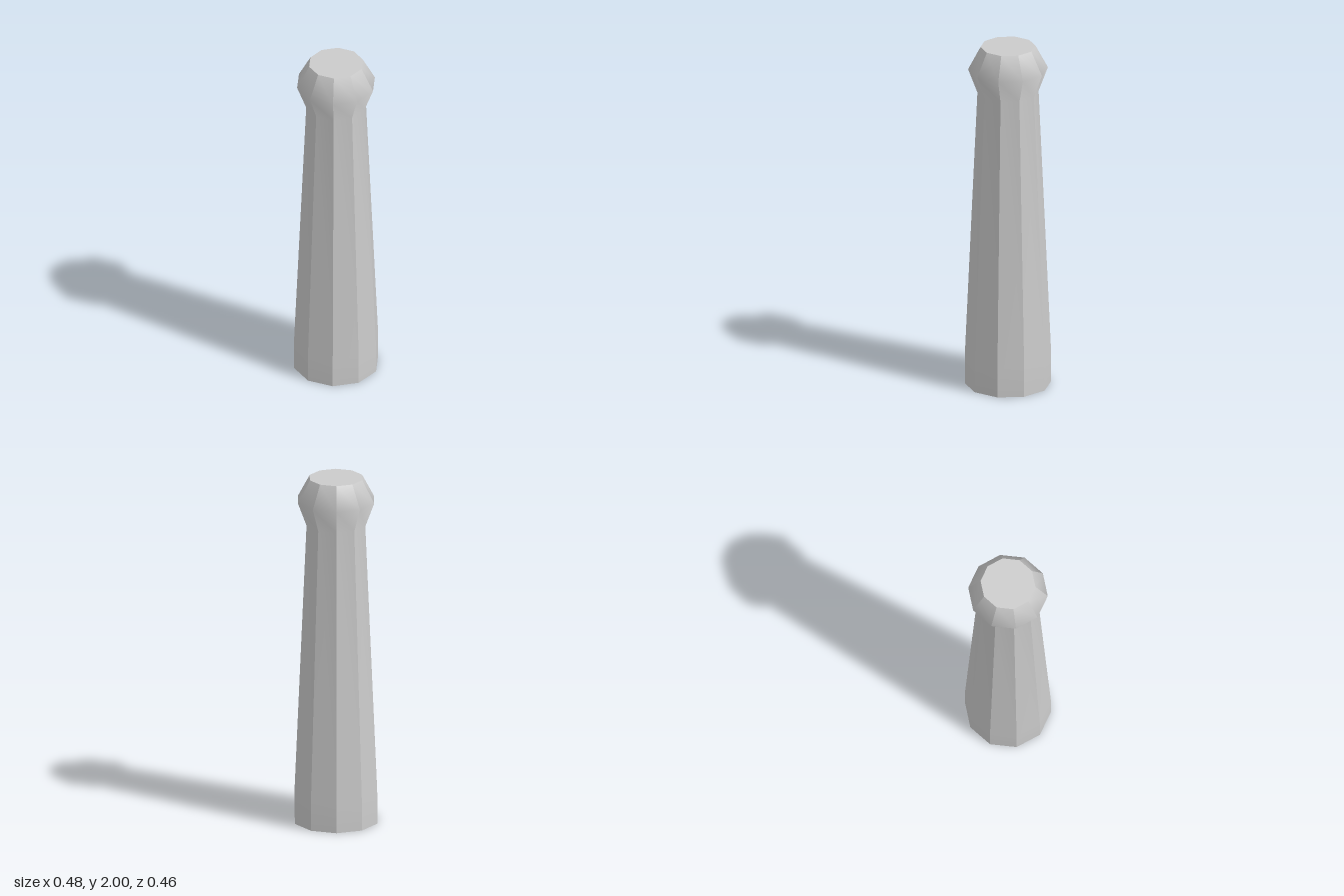
import * as THREE from 'three';
import { mergeGeometries } from 'three/addons/utils/BufferGeometryUtils.js';

const SIDES = 10;
const STEP = (Math.PI * 2) / SIDES;

export function createModel() {
  const group = new THREE.Group();
  group.name = 'post';
  const material = new THREE.MeshStandardMaterial({ color: 0xcccccc });

  // Outline from the foot, up the tapering shaft and over the flared head
  const profile = [[0.24, 0], [0.24, 0.17], [0.17, 1.73], [0.222, 1.87], [0.153, 2]]
    .map(([r, y]) => new THREE.Vector2(r, y));

  // One strip per side: sharp between the sides, smooth along the height
  const strips = [];
  for (let i = 0; i < SIDES; i++) {
    const strip = new THREE.LatheGeometry(profile, 1, Math.PI / 2 + i * STEP, STEP);
    strip.computeVertexNormals();
    strips.push(strip);
  }
  const shaft = new THREE.Mesh(mergeGeometries(strips), material);
  shaft.name = 'shaft';
  group.add(shaft);

  // Flat ends
  const addCap = (name, radius, y, tilt) => {
    const cap = new THREE.Mesh(new THREE.CircleGeometry(radius, SIDES).rotateX(tilt), material);
    cap.position.y = y;
    cap.name = name;
    group.add(cap);
  };
  addCap('topCap', 0.153, 2, -Math.PI / 2);
  addCap('bottomCap', 0.24, 0, Math.PI / 2);

  return group;
}
